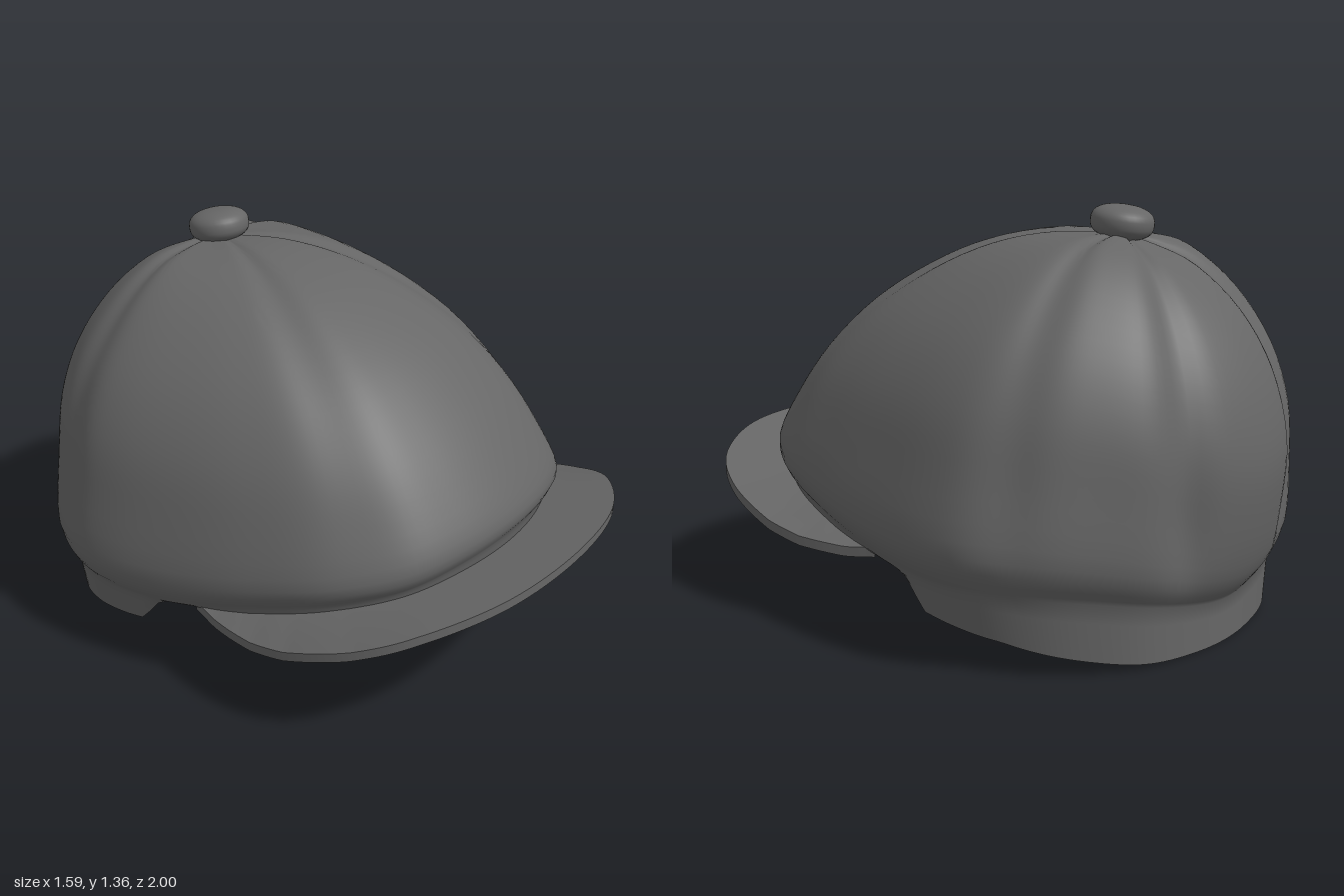
import * as THREE from 'three';
import { toCreasedNormals } from 'three/addons/utils/BufferGeometryUtils.js';

const V2 = (p) => new THREE.Vector2(p[0], p[1]);
const { lerp, clamp, smoothstep, radToDeg } = THREE.MathUtils;

// Piecewise-linear lookup in [[key, value], ...] sorted by falling key
function lookup(table, k) {
  if (k >= table[0][0]) return table[0][1];
  for (let i = 1; i < table.length; i++) {
    const [k0, v0] = table[i - 1], [k1, v1] = table[i];
    if (k >= k1) return lerp(v0, v1, (k0 - k) / (k0 - k1));
  }
  return table[table.length - 1][1];
}

// Skin a grid of points given as rows of [x, y, z]
function skin(rows, crease) {
  const n = rows[0].length, index = [];
  for (let i = 0; i < rows.length - 1; i++) {
    for (let j = 0; j < n - 1; j++) {
      const a = i * n + j, b = a + 1, d = a + n, c = d + 1;
      index.push(a, d, c, a, c, b);
    }
  }
  const geo = new THREE.BufferGeometry();
  geo.setAttribute('position', new THREE.Float32BufferAttribute(rows.flat(2), 3));
  geo.setIndex(index);
  return toCreasedNormals(geo, crease);
}

const APEX_Z = -0.46;
const WALL = 0.035;

// Widest outline of the crown, from front to back on the left half (x, z)
const OUTLINE = [[0, 0.785], [0.25, 0.755], [0.45, 0.675], [0.6, 0.5], [0.7, 0.25], [0.76, 0],
  [0.795, -0.28], [0.78, -0.45], [0.71, -0.61], [0.6, -0.75], [0.45, -0.88], [0.25, -0.96], [0, -1]];

// Crown profiles: share of the outline radius, height; the last point is the tuck above the band
const FRONT = [[0, 1.265], [0.19, 1.28], [0.37, 1.24], [0.53, 1.16], [0.69, 1.04], [0.83, 0.885], [0.935, 0.73], [1, 0.6], [0.985, 0.53]];
const SIDE = [[0, 1.265], [0.19, 1.265], [0.375, 1.235], [0.57, 1.14], [0.765, 0.98], [0.89, 0.8], [0.955, 0.6], [1, 0.37], [0.92, 0.25]];
const BACK = [[0, 1.265], [0.185, 1.23], [0.44, 1.16], [0.72, 1.01], [0.91, 0.82], [1, 0.6], [0.97, 0.4], [0.89, 0.23], [0.77, 0.14]];

// Height of the lower band edge by z: buried in the brim, then stepping down behind it
const BAND_EDGE = [[0.735, 0.465], [0.435, 0.38], [0.2, 0.315], [0, 0.282], [-0.13, 0.265], [-0.18, 0.21],
  [-0.22, 0.15], [-0.3, 0.135], [-0.5, 0.105], [-0.87, 0]];

// Seams: angle from the front in degrees, depth, width
const SEAMS = [[27, 0.012, 6], [97, 0.025, 7], [145, 0.055, 8]];

function crownGeometry() {
  const mirrored = OUTLINE.slice(1, -1).reverse().map(([x, z]) => [-x, z]);
  const outline = new THREE.CatmullRomCurve3(
    [...OUTLINE, ...mirrored].map(([x, z]) => new THREE.Vector3(x, 0, z)), true);
  const COLS = 168, STEPS = 32;
  const columns = [];
  for (let j = 0; j <= COLS; j++) {
    const p = outline.getPoint((j % COLS) / COLS);
    const dx = p.x, dz = p.z - APEX_Z, radius = Math.hypot(dx, dz);
    const angle = Math.atan2(Math.abs(dx), dz), c = Math.cos(angle);
    const end = c > 0 ? FRONT : BACK;
    const w = c > 0 ? c ** 3 : c ** 2;
    const profile = new THREE.SplineCurve(SIDE.map((s, i) =>
      V2([lerp(s[0], end[i][0], w), lerp(s[1], end[i][1], w)])));

    // Panels dip at the seams
    let depth = 0, groove = 0;
    for (const [at, d, width] of SEAMS) {
      const offset = (radToDeg(angle) - at) / width;
      const g = Math.exp(-offset * offset);
      depth += d * g;
      groove += g;
    }
    const outer = [];
    for (let i = 0; i <= STEPS; i++) {
      const t = i / STEPS, q = profile.getPoint(t), f = clamp(q.x, 0, 1.02);
      const fade = Math.min(1, f * 1.5) * (1 - smoothstep(t, 0.75, 0.95));
      outer.push([f * (1 - depth * fade), q.y - 0.022 * groove * Math.sin(Math.PI * Math.min(1, f)) * (1 - t)]);
    }
    // Band below the tuck
    const tuck = outer[STEPS];
    const low = lerp(0.885, c > 0 ? 0.975 : 0.77, c * c);
    const lowY = Math.min(lookup(BAND_EDGE, APEX_Z + dz * low), tuck[1] - 0.015);
    for (const t of [0.33, 0.66, 1]) outer.push([lerp(tuck[0], low, t), lerp(tuck[1], lowY, t)]);

    // Lining, back up to the apex
    const shrink = 1 - WALL / radius;
    const inner = outer.map(([f, y]) => [f * shrink, y - WALL * clamp((y - 0.6) / 0.6, 0, 1)]).reverse();
    columns.push([...outer, ...inner].map(([f, y]) => [dx * f, y, APEX_Z + dz * f]));
  }
  const rows = columns[0].map((_, i) => columns.map((col) => col[i]));
  return skin(rows, 0.8);
}

// Brim: right-to-left sweep between an inner and an outer edge (x, z), each with its heights by z
const BRIM_OUTER = [[0.68, 0], [0.73, 0.2], [0.745, 0.42], [0.7, 0.64], [0.585, 0.81], [0.33, 0.955], [0, 1]];
const BRIM_INNER = [[0.66, 0], [0.635, 0.2], [0.59, 0.35], [0.52, 0.495], [0.41, 0.625], [0.23, 0.715], [0, 0.74]];
const OUTER_TOP = [[1, 0.54], [0.81, 0.475], [0.64, 0.405], [0.42, 0.33], [0.28, 0.3], [0.1, 0.29], [0, 0.3]];
const INNER_TOP = [[0.74, 0.485], [0.435, 0.4], [0.2, 0.335], [0, 0.3]];

function brimGeometry() {
  const edge = (half) => new THREE.SplineCurve(
    [...half.map(([x, z]) => [-x, z]), ...half.slice(0, -1).reverse()].map(V2));
  const outer = edge(BRIM_OUTER), inner = edge(BRIM_INNER);
  const COLS = 96, THICK = 0.032;
  // Cross-section loop: share of the way outwards, drop below the top face
  const section = [[0, 0], [0.33, 0], [0.67, 0], [1, 0], [1, 1], [0.67, 1], [0.33, 1], [0, 1], [0, 0]];
  const rows = section.map(([s, drop]) => {
    const row = [];
    for (let j = 0; j <= COLS; j++) {
      const a = inner.getPoint(j / COLS), b = outer.getPoint(j / COLS);
      const top = lerp(lookup(INNER_TOP, a.y), lookup(OUTER_TOP, b.y), s);
      row.push([lerp(a.x, b.x, s), top - drop * THICK, lerp(a.y, b.y, s)]);
    }
    return row;
  });
  return skin(rows, 0.7);
}

// Button: a plump disc with a rounded-square section
function buttonGeometry() {
  const points = [];
  for (let i = 0; i <= 20; i++) {
    const a = (i / 20 - 0.5) * Math.PI, s = Math.sin(a);
    points.push(new THREE.Vector2(0.104 * Math.abs(Math.cos(a)) ** 0.8, 0.055 * Math.sign(s) * Math.abs(s) ** 0.8));
  }
  return new THREE.LatheGeometry(points, 32);
}

export function createModel() {
  const cap = new THREE.Group();
  cap.name = 'cap';
  const cloth = new THREE.MeshStandardMaterial({ color: 0x666666 });
  const add = (name, geometry) => {
    const mesh = new THREE.Mesh(geometry, cloth);
    mesh.name = name;
    cap.add(mesh);
    return mesh;
  };

  add('crown', crownGeometry());
  add('brim', brimGeometry());

  // The button leans back on the apex
  const button = add('topButton', buttonGeometry());
  button.position.set(0, 1.302, APEX_Z);
  button.rotation.x = -0.15;

  return cap;
}
